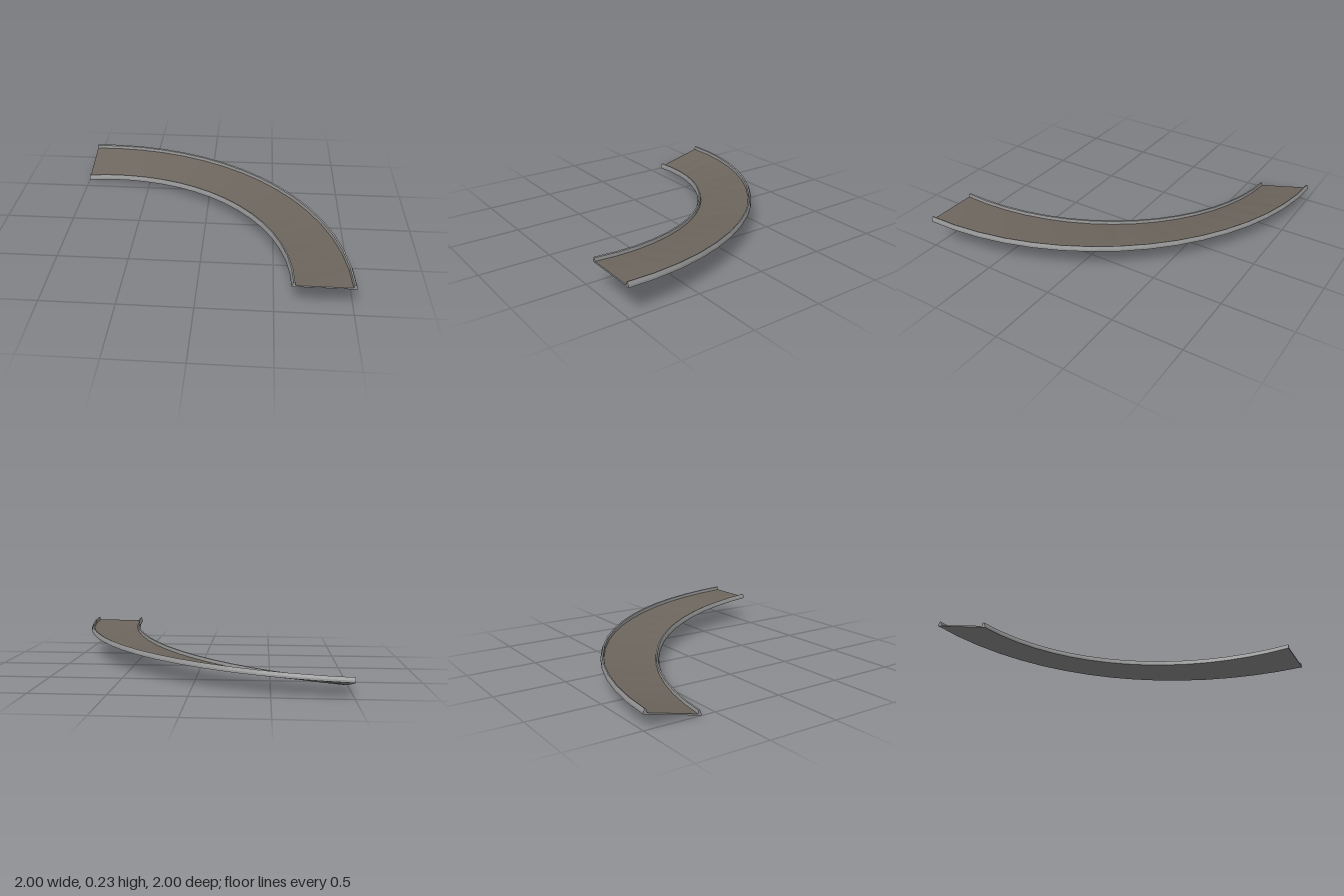
import * as THREE from 'three';

const INNER = 1.6, OUTER = 2, SEGMENTS = 16;

// Point on the banked, climbing quarter turn: t along it, r from its centre, h above the base
function place(t, r, h) {
  const a = t * Math.PI / 2;
  const bank = 0.1 * (r - INNER) / (OUTER - INNER);
  return [-1 + r * Math.sin(a), 0.2 * t + (1 - t) * bank + h, 1 - r * Math.cos(a)];
}

function build(name, positions, material) {
  const geometry = new THREE.BufferGeometry();
  geometry.setAttribute('position', new THREE.Float32BufferAttribute(positions, 3));
  geometry.computeVertexNormals();
  const mesh = new THREE.Mesh(geometry, material);
  mesh.name = name;
  return mesh;
}

// Sweep an open profile of [r, h] points round the turn
function sweep(name, profile, material) {
  const out = [];
  for (let i = 0; i < SEGMENTS; i++) {
    const t0 = i / SEGMENTS, t1 = (i + 1) / SEGMENTS;
    for (let j = 0; j < profile.length - 1; j++) {
      const a = place(t0, ...profile[j]), b = place(t0, ...profile[j + 1]);
      const c = place(t1, ...profile[j + 1]), d = place(t1, ...profile[j]);
      out.push(...a, ...b, ...c, ...a, ...c, ...d);
    }
  }
  return build(name, out, material);
}

// Close one end of the section
function cap(name, loop, t, material) {
  const out = [];
  const contour = loop.map(([r, h]) => new THREE.Vector2(r, h));
  for (const face of THREE.ShapeUtils.triangulateShape(contour, [])) {
    const order = t === 1 ? face : [face[0], face[2], face[1]];
    for (const k of order) out.push(...place(t, ...loop[k]));
  }
  return build(name, out, material);
}

export function createModel() {
  const road = new THREE.MeshStandardMaterial({ color: 0x6e675f });
  road.name = 'road brown grey';
  const kerb = new THREE.MeshStandardMaterial({ color: 0x949494 });
  kerb.name = 'kerb grey';

  // Kerb section from the outside edge over the top to the road
  const section = [[0, 0], [0.002, 0.014], [0.011, 0.035], [0.021, 0.032], [0.025, 0.01]];
  const outerKerb = section.map(([w, h]) => [OUTER - w, h]);
  const innerKerb = section.map(([w, h]) => [INNER + w, h]).reverse();
  const loop = [...outerKerb, ...innerKerb];

  const group = new THREE.Group();
  group.name = 'bankedRoadCurve';
  group.add(
    sweep('outerKerb', outerKerb, kerb),
    sweep('roadSurface', [outerKerb[4], innerKerb[0]], road),
    sweep('innerKerb', innerKerb, kerb),
    sweep('underside', [innerKerb[4], outerKerb[0]], kerb),
    cap('lowerEnd', loop, 0, kerb),
    cap('upperEnd', loop, 1, kerb)
  );
  return group;
}
